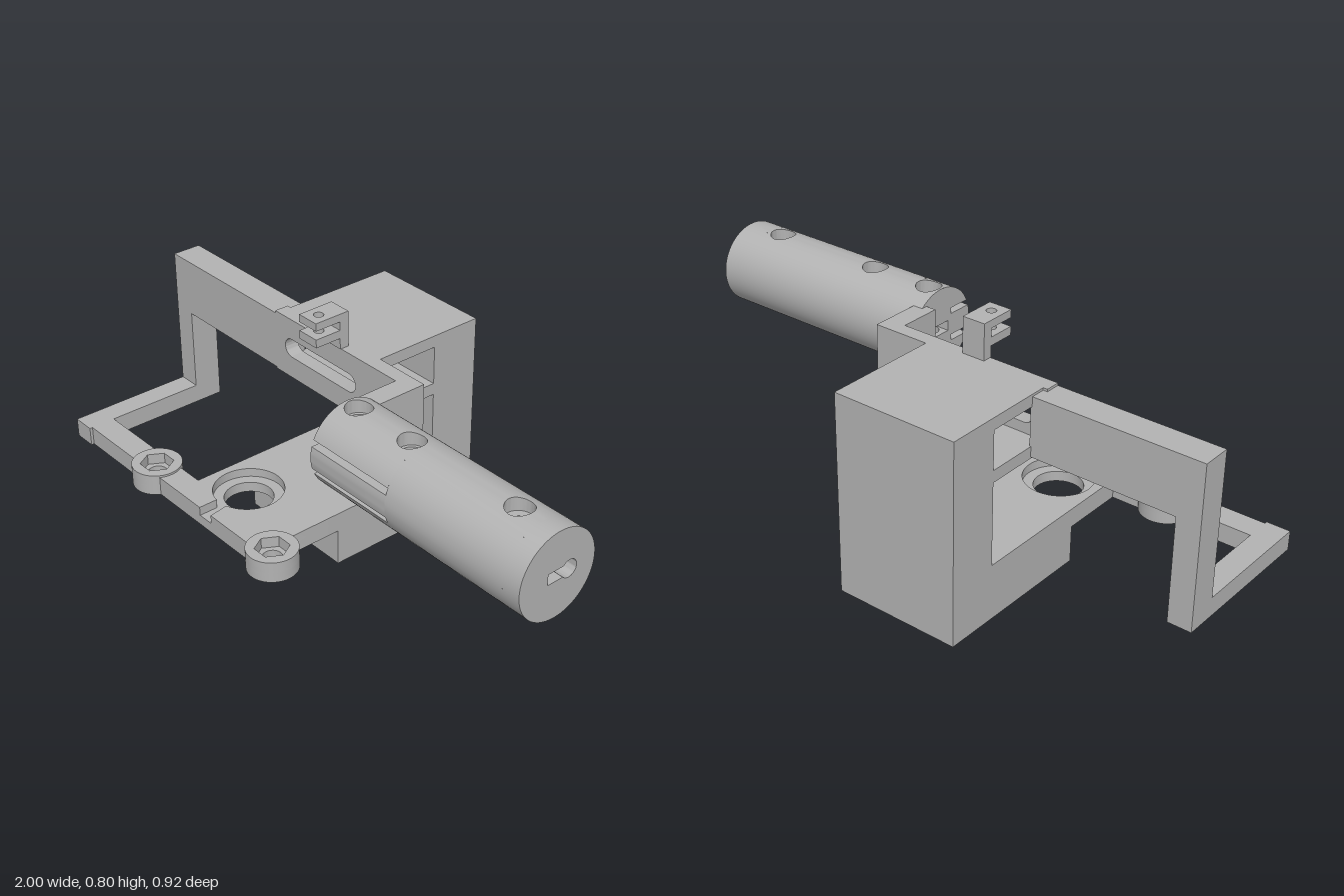
import * as THREE from 'three';
import { mergeGeometries, toCreasedNormals } from 'three/addons/utils/BufferGeometryUtils.js';

export function createModel() {
  const model = new THREE.Group();
  model.name = 'mountBracket';
  const grey = new THREE.MeshStandardMaterial({ color: 0xb2b2b2, side: THREE.DoubleSide });
  grey.name = 'plain grey';
  const V = (x, y, z) => new THREE.Vector3(x, y, z);

  function add(name, geo, parent = model) {
    const mesh = new THREE.Mesh(geo, grey);
    mesh.name = name;
    parent.add(mesh);
    return mesh;
  }
  // Box from its limits
  function box(name, x0, x1, y0, y1, z0, z1) {
    const g = new THREE.BoxGeometry(x1 - x0, y1 - y0, z1 - z0);
    return add(name, g.translate((x0 + x1) / 2, (y0 + y1) / 2, (z0 + z1) / 2));
  }
  const poly = (pts) => new THREE.Shape(pts.map((p) => new THREE.Vector2(p[0], p[1])));
  const rect = (a0, a1, b0, b1) => poly([[a0, b0], [a1, b0], [a1, b1], [a0, b1]]);
  // Regular outline: many sides for a circle, six for a nut pocket
  function ngon(cx, cy, r, n = 48) {
    return poly(Array.from({ length: n }, (_, i) => {
      const a = (i / n) * Math.PI * 2;
      return [cx + r * Math.cos(a), cy + r * Math.sin(a)];
    }));
  }
  function extrude(shape, depth) {
    return toCreasedNormals(new THREE.ExtrudeGeometry(shape, { depth, bevelEnabled: false, curveSegments: 48 }), 0.5);
  }
  // Horizontal slab: shape is drawn in (x, z)
  const slab = (name, shape, y0, y1) => add(name, extrude(shape, y1 - y0).rotateX(Math.PI / 2).translate(0, y1, 0));

  // --- Main C-shaped block, drawn in (-z, y) and extruded along x
  const profile = poly([[-0.11, 0], [0.46, 0], [0.46, 0.68], [0.06, 0.68], [0.06, 0.64], [0.285, 0.64],
    [0.285, 0.51], [0.06, 0.51], [0.06, 0.47], [0.285, 0.47], [0.285, 0.19], [-0.11, 0.19]]);
  add('mainBlock', extrude(profile, 0.435).rotateY(Math.PI / 2).translate(-0.43, 0, 0));

  // --- Front wall with rounded slot, and the arm to the barrel
  const wall = rect(-0.445, 0.2, 0.47, 0.68);
  const slot = new THREE.Path();
  slot.absarc(-0.085, 0.577, 0.032, -Math.PI / 2, Math.PI / 2, false);
  slot.absarc(-0.365, 0.577, 0.032, Math.PI / 2, Math.PI * 1.5, false);
  slot.closePath();
  wall.holes.push(slot);
  add('slottedWall', extrude(wall, 0.05).translate(0, 0, -0.063));
  box('armTab', 0.13, 0.2, 0.47, 0.68, -0.013, 0.13);

  // --- Side frame
  box('frameTopBar', -1, -0.445, 0.475, 0.672, -0.113, -0.013);
  box('frameTopOverlap', -0.445, -0.425, 0.475, 0.672, -0.113, -0.063);
  box('frameUpright', -1, -0.92, 0.125, 0.475, -0.113, -0.013);
  box('frameFoot', -1, -0.92, 0.125, 0.19, -0.013, 0.425);
  box('frontBarOuter', -0.92, -0.655, 0.125, 0.19, 0.33, 0.415);
  box('frontBarInner', -0.535, -0.43, 0.125, 0.19, 0.33, 0.415);

  // --- Base plate in two layers, with a stepped round hole and a groove to the front
  const hx = -0.287, hz = 0.235;
  function plate(grooved) {
    const s = new THREE.Shape();
    s.moveTo(-0.43, 0.11);
    s.lineTo(0.005, 0.11);
    s.lineTo(0.005, 0.315);
    s.absarc(0.015, 0.375, 0.06, -1.74, -3.87, true);
    if (grooved) {
      s.lineTo(-0.245, 0.415);
      s.absarc(hx, hz, 0.115, Math.PI / 2 - 0.27, Math.PI / 2 + 0.14 - Math.PI * 2, true);
      s.lineTo(-0.303, 0.415);
    } else s.holes.push(ngon(hx, hz, 0.08));
    s.lineTo(-0.43, 0.415);
    s.closePath();
    return s;
  }
  slab('plateLower', plate(false), 0.125, 0.16);
  slab('plateUpper', plate(true), 0.16, 0.19);

  // --- Nut bosses: hexagonal pocket above a round hole
  for (const x of [-0.595, 0.015]) {
    const low = ngon(x, 0.375, 0.083), high = ngon(x, 0.375, 0.083);
    low.holes.push(ngon(x, 0.375, 0.032));
    high.holes.push(ngon(x, 0.375, 0.055, 6));
    slab('bossLower', low, 0.125, 0.16);
    slab('bossUpper', high, 0.16, 0.197);
  }

  // --- Forked clip on top
  box('clipStem', -0.2, -0.12, 0.68, 0.8, -0.043, -0.01);
  for (const [y0, y1] of [[0.717, 0.745], [0.774, 0.8]]) {
    const s = rect(-0.2, -0.12, -0.01, 0.083);
    s.holes.push(ngon(-0.16, 0.04, 0.016, 24));
    slab('clipProng', s, y0, y1);
  }

  // --- Barrel, built around its own axis along x
  const barrel = new THREE.Group();
  barrel.name = 'barrel';
  barrel.position.set(0, 0.575, 0.2);
  model.add(barrel);
  const R = 0.139, X0 = 0.165, XS = 0.484, X1 = 0.94, W = 0.05;

  // Surface through rows of points
  function loft(rows) {
    const p = [];
    for (let i = 0; i < rows.length - 1; i++) {
      for (let j = 0; j < rows[i].length - 1; j++) {
        const a = rows[i][j], b = rows[i + 1][j], c = rows[i + 1][j + 1], d = rows[i][j + 1];
        for (const v of [a, b, d, b, c, d]) p.push(v.x, v.y, v.z);
      }
    }
    return new THREE.BufferGeometry().setAttribute('position', new THREE.Float32BufferAttribute(p, 3));
  }
  const arc = (a0, a1, n) => Array.from({ length: n + 1 }, (_, i) => {
    const a = a0 + ((a1 - a0) * i) / n;
    return [R * Math.cos(a), R * Math.sin(a)];
  });
  const strip = (pts, x0, x1) => loft([x0, x1].map((x) => pts.map(([z, y]) => V(x, y, z))));
  const edge = Math.acos(W / R);
  const [s0, s1] = [0.037, 0.057].map((y) => Math.asin(y / R));
  const zs = 0.05;
  // Front profile with two slits
  const notched = [...arc(-edge, -s1, 10), [zs, -0.057], [zs, -0.037], ...arc(-s0, s0, 8),
    [zs, 0.037], [zs, 0.057], ...arc(s1, edge, 10)];
  const skin = [strip(notched, X0, XS), strip(arc(-edge, edge, 28), XS, X1),
    strip(arc(Math.PI - edge, Math.PI + edge, 28), X0, X1)];

  // Screw holes: round pocket above, hexagonal pocket below
  const holes = [[0.215, 0.032], [0.44, 0.032], [0.855, 0.018]];
  const N = 48, yAt = (z) => Math.sqrt(R * R - z * z);
  for (const [cx, rIn] of holes) {
    for (const s of [1, -1]) {
      const ring = (fn) => Array.from({ length: N + 1 }, (_, j) => {
        const t = (j / N) * Math.PI * 2;
        const sq = W / Math.max(Math.abs(Math.cos(t)), Math.abs(Math.sin(t)));
        const hex = 0.044 * Math.cos(Math.PI / 6) / Math.cos((t % (Math.PI / 3)) - Math.PI / 6);
        const [r, y] = fn(sq, s > 0 ? 0.042 : hex);
        const z = r * Math.sin(t);
        return V(cx + r * Math.cos(t), s * (y ?? yAt(z)), s * z);
      });
      skin.push(loft([ring((q) => [q]), ring((q, r) => [(q + r) / 2]), ring((q, r) => [r]),
        ring((q, r) => [r, 0.095]), ring(() => [rIn, 0.095]), ring(() => [rIn, 0.0175])]));
    }
  }
  // Plain strips between the screw holes
  for (const [x0, x1] of [[0.265, 0.39], [0.49, 0.805], [0.905, X1]]) {
    skin.push(strip(arc(edge, Math.PI - edge, 12), x0, x1));
    skin.push(strip(arc(Math.PI + edge, Math.PI * 2 - edge, 12), x0, x1));
  }
  add('barrelSkin', toCreasedNormals(mergeGeometries(skin), 0.5), barrel);

  // End faces, drawn in (z, y) and turned to face along x
  const face = (name, shape, x) => add(name,
    new THREE.ShapeGeometry(shape, 48).scale(-1, 1, 1).rotateY(Math.PI / 2).translate(x, 0, 0), barrel);
  const channel = () => rect(-0.06, 0.035, -0.0175, 0.0175);
  const inner = poly([...notched, ...arc(edge, Math.PI * 2 - edge, 60)]);
  inner.holes.push(channel());
  face('barrelInnerEnd', inner, X0);
  for (const x of [XS, X1]) {
    const disc = ngon(0, 0, R - 0.0005, 72);
    disc.holes.push(channel());
    face('barrelPartition', disc, x);
  }
  // Outer cap with keyhole recess, drawn in (-z, y)
  const cap = ngon(0, 0, R, 72);
  const key = new THREE.Path();
  key.moveTo(-0.035, 0.0175);
  key.lineTo(-0.035, -0.0175);
  key.absarc(0.043, 0, 0.028, Math.PI + 0.675, Math.PI * 3 - 0.675, false);
  key.closePath();
  cap.holes.push(key);
  add('barrelCap', extrude(cap, 0.06).rotateY(Math.PI / 2).translate(X1, 0, 0), barrel);

  // Rectangular channel through the barrel
  for (const y of [-0.0175, 0.0175]) {
    const s = rect(X0, X1, -0.06, 0.035);
    for (const [cx, r] of holes) s.holes.push(ngon(cx, 0, r));
    add('channelFace', new THREE.ShapeGeometry(s).rotateX(Math.PI / 2).translate(0, y, 0), barrel);
  }
  for (const z of [-0.06, 0.035]) {
    add('channelSide', new THREE.PlaneGeometry(X1 - X0, 0.035).translate((X0 + X1) / 2, 0, z), barrel);
  }
  return model;
}
